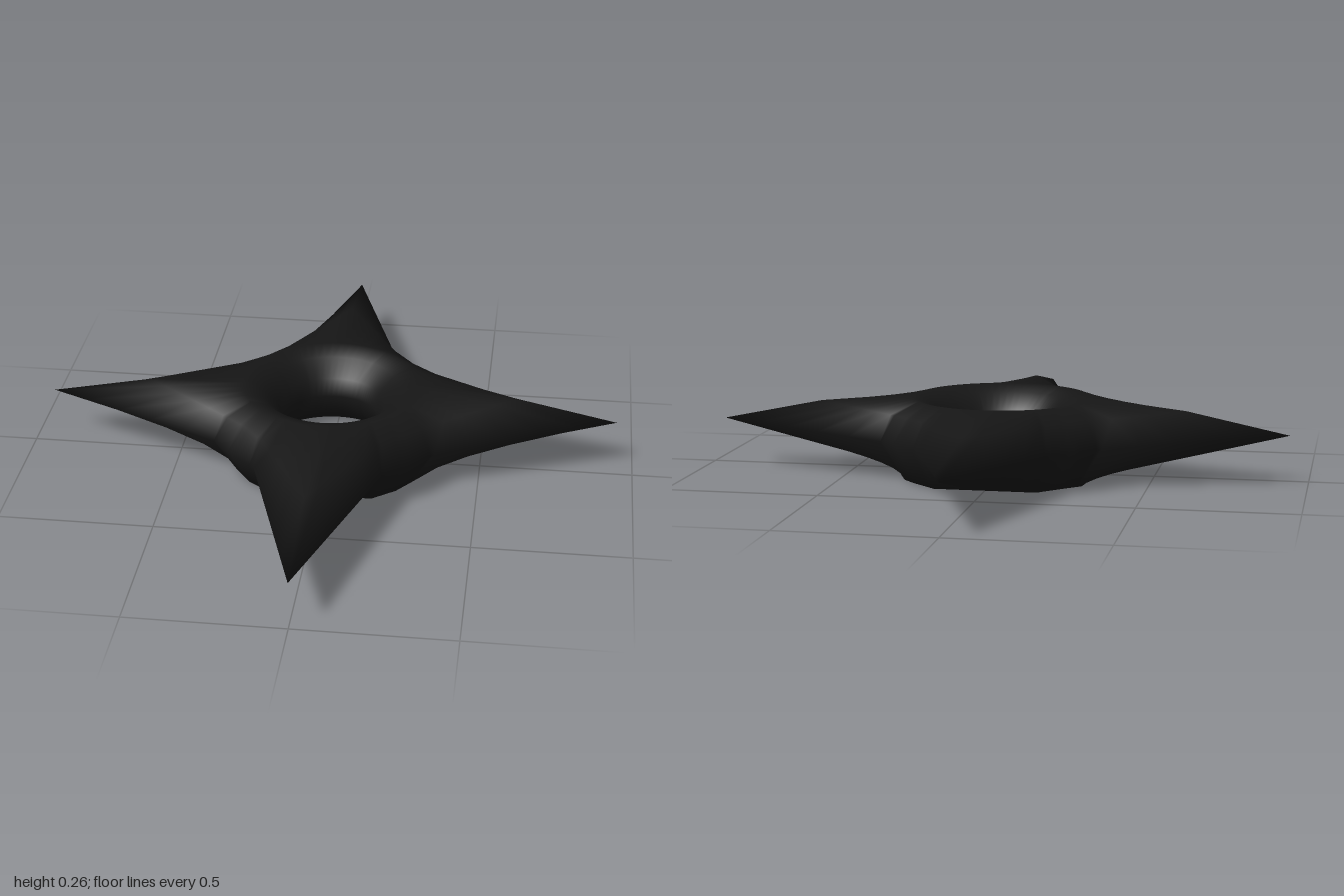
import * as THREE from 'three';

const STEPS = 5;       // subdivisions between control stations
const CENTRE_Z = -0.04;

// Arms in order +z, +x, -z, -x: length and sideways lean of the tip
const ARMS = [
  { length: 1.04, lean: 0 },
  { length: 0.94, lean: 0.02 },
  { length: 0.96, lean: 0 },
  { length: 0.94, lean: -0.02 },
];

// Each ring is either a circle {r, y} or [outward, sideways, y] at arm axis, shoulder and notch.
// They run from the hole's waist over the top, round the cutting edge and back underneath.
function ringsFor({ length, lean }) {
  return [
    { r: 0.16, y: 0.12 },
    { r: 0.175, y: 0.18 },
    { r: 0.23, y: 0.235 },
    { r: 0.29, y: 0.257 },
    [[0.645 * length, lean * 0.6, 0.228], [0.33, 0.185, 0.215], [0.25, 0.25, 0.215]],
    [[length, lean, 0.16], [0.36, 0.205, 0.13], [0.29, 0.29, 0.13]],
    [[0.29, 0, 0], [0.29, 0.165, 0], [0.24, 0.24, 0.005]],
    { r: 0.235, y: 0 },
    { r: 0.175, y: 0.055 },
  ];
}

// Point of a ring at station s (0 = arm axis, 1 = shoulder, 2 = notch; negative = other side)
function ringPoint(ring, s) {
  const a = Math.abs(s), side = Math.sign(s);
  const i = Math.min(Math.floor(a), 1), t = a - i;
  if (!Array.isArray(ring)) {
    const angle = THREE.MathUtils.degToRad(i === 0 ? 30 * t : 30 + 15 * t);
    return [ring.r * Math.cos(angle), side * ring.r * Math.sin(angle), ring.y];
  }
  const [out, across, y] = ring[i].map((v, k) => THREE.MathUtils.lerp(v, ring[i + 1][k], t));
  // Lean belongs to the arm axis and must not flip with the side
  const lean = i === 0 ? ring[0][1] * (1 - t) : 0;
  return [out, side * (across - lean) + lean, y];
}

function starGeometry() {
  const positions = [], index = [];
  const ringCount = ringsFor(ARMS[0]).length;
  const perArm = 4 * STEPS, stations = 4 * perArm;

  ARMS.forEach((arm, k) => {
    const rings = ringsFor(arm);
    const sin = [0, 1, 0, -1][k], cos = [1, 0, -1, 0][k];
    for (let n = 0; n < perArm; n++) {
      const s = n / STEPS - 2;
      for (const ring of rings) {
        const [out, across, y] = ringPoint(ring, s);
        positions.push(out * sin + across * cos, y, out * cos - across * sin + CENTRE_Z);
      }
    }
  });

  // Closed in both directions, so the hole is part of the same skin
  for (let i = 0; i < stations; i++) {
    const i2 = (i + 1) % stations;
    for (let j = 0; j < ringCount; j++) {
      const j2 = (j + 1) % ringCount;
      const a = i * ringCount + j, b = i * ringCount + j2;
      const c = i2 * ringCount + j, d = i2 * ringCount + j2;
      index.push(a, b, c, b, d, c);
    }
  }
  const geometry = new THREE.BufferGeometry();
  geometry.setAttribute('position', new THREE.Float32BufferAttribute(positions, 3));
  geometry.setIndex(index);
  geometry.computeVertexNormals();
  return geometry;
}

export function createModel() {
  const group = new THREE.Group();
  group.name = 'throwingStar';
  const blade = new THREE.Mesh(starGeometry(), new THREE.MeshStandardMaterial({ color: 0x161616 }));
  blade.name = 'fourPointedBlade';
  group.add(blade);
  return group;
}
